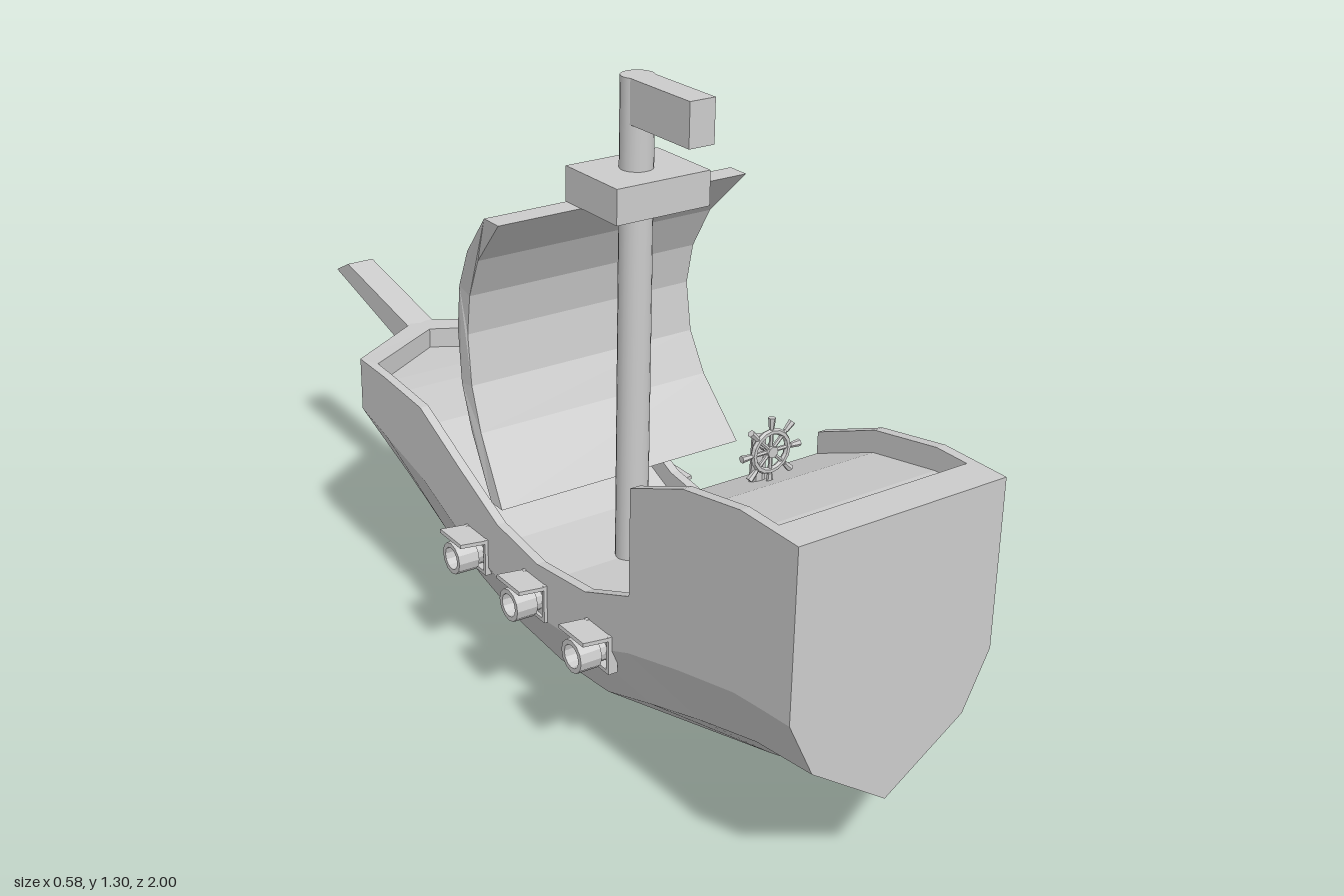
import * as THREE from 'three';

const flat = new THREE.MeshStandardMaterial({ color: 0xcccccc, flatShading: true });
const smooth = new THREE.MeshStandardMaterial({ color: 0xcccccc });

function add(parent, name, geometry, x = 0, y = 0, z = 0, material = flat) {
  const mesh = new THREE.Mesh(geometry, material);
  mesh.name = name;
  mesh.position.set(x, y, z);
  parent.add(mesh);
  return mesh;
}

// Extrudes a [z, y] outline across the ship, centred on x = 0
function sideExtrude(points, width) {
  const shape = new THREE.Shape(points.map(([z, y]) => new THREE.Vector2(z, y)));
  const geometry = new THREE.ExtrudeGeometry(shape, { depth: width, bevelEnabled: false });
  return geometry.translate(0, 0, -width / 2).rotateY(-Math.PI / 2);
}

// Hull lofted from half sections (keel, chine, wale, rail, inner rail, deck edge, deck centre)
function hullGeometry() {
  const W = 0.225, inner = 0.205, chineX = 0.17, drop = 0.045;
  const section = (z, keel, chine, wale, rail, deck = rail - drop) => [
    [0, keel, z], [chineX, chine, z], [W, wale, z], [W, rail, z],
    [inner, rail, z], [inner, deck, z], [0, deck, z],
  ];
  const rows = [
    section(1, 0.185, 0.3, 0.415, 0.75, 0.75),
    section(0.925, 0.17, 0.29, 0.408, 0.75, 0.75), // back rail, then its inner wall
    section(0.925, 0.17, 0.29, 0.408, 0.75),
    section(0.85, 0.155, 0.28, 0.4, 0.75),
    section(0.69, 0.1, 0.235, 0.36, 0.72),
    section(0.535, 0.055, 0.185, 0.315, 0.655), // step down to the main deck
    section(0.535, 0.055, 0.185, 0.315, 0.435),
    section(0.39, 0.015, 0.135, 0.255, 0.375),
    section(0.22, 0.005, 0.12, 0.24, 0.355),
    section(0.07, 0.012, 0.13, 0.25, 0.375),
    section(-0.09, 0.05, 0.165, 0.29, 0.445),
    section(-0.24, 0.09, 0.21, 0.35, 0.515),
    section(-0.4, 0.155, 0.275, 0.385, 0.527),
    // bow shoulder and stem
    [[0, 0.17, -0.48], [0.085, 0.287, -0.48], [W, 0.41, -0.51], [W, 0.53, -0.51],
      [inner, 0.53, -0.465], [inner, 0.482, -0.465], [0, 0.482, -0.465]],
    [[0, 0.185, -0.555], [0, 0.3, -0.555], [0, 0.41, -0.665], [0, 0.52, -0.665],
      [0, 0.52, -0.6], [0, 0.475, -0.6], [0, 0.475, -0.6]],
  ];
  const positions = [];
  const flip = ([x, y, z]) => [-x, y, z];
  const face = (a, b, c) => {
    const tri = new THREE.Triangle(...[a, b, c].map((p) => new THREE.Vector3(...p)));
    if (tri.getArea() < 1e-7) return;
    positions.push(...a, ...b, ...c, ...flip(a), ...flip(c), ...flip(b));
  };
  for (let i = 0; i < rows.length - 1; i++) {
    for (let j = 0; j < 6; j++) {
      const a = rows[i][j], b = rows[i + 1][j], c = rows[i + 1][j + 1], d = rows[i][j + 1];
      face(a, b, c);
      face(a, c, d);
    }
  }
  for (let j = 1; j < 6; j++) face(rows[0][0], rows[0][j], rows[0][j + 1]); // transom
  const geometry = new THREE.BufferGeometry();
  geometry.setAttribute('position', new THREE.Float32BufferAttribute(positions, 3));
  geometry.computeVertexNormals();
  return geometry;
}

// Billowing sail, wider at its top and bottom edges
function sailGeometry() {
  const outline = [
    [0.14, 1.057], [0.055, 0.965], [0.01, 0.88], [-0.005, 0.785], [0.01, 0.675], [0.055, 0.59], [0.15, 0.477],
    [0.19, 0.477], [0.09, 0.598], [0.048, 0.682], [0.033, 0.785], [0.048, 0.87], [0.093, 0.957], [0.19, 1.057],
  ];
  const geometry = sideExtrude(outline, 2);
  const p = geometry.attributes.position;
  for (let i = 0; i < p.count; i++) {
    const t = (p.getY(i) - 0.77) / 0.29;
    p.setX(i, p.getX(i) * (0.262 + 0.022 * t * t));
  }
  geometry.computeVertexNormals();
  return geometry;
}

// Cannon in its gun port, pointing along +x
function cannon() {
  const group = new THREE.Group();
  group.name = 'cannon';
  const profile = [[0, 0.18], [0.027, 0.18], [0.027, 0.24], [0.035, 0.242], [0.034, 0.288], [0.024, 0.288], [0.024, 0.23], [0, 0.23]];
  const barrel = new THREE.LatheGeometry(profile.map(([r, h]) => new THREE.Vector2(r, h)), 12);
  add(group, 'barrel', barrel.rotateZ(-Math.PI / 2), 0, 0.28, 0);
  const lid = add(group, 'portLid', new THREE.BoxGeometry(0.075, 0.008, 0.084), 0.252, 0.321, 0);
  lid.rotation.z = 0.12;
  for (const s of [-1, 1]) {
    add(group, 'portSide', new THREE.BoxGeometry(0.02, 0.08, 0.008), 0.222, 0.283, s * 0.038);
  }
  add(group, 'portSill', new THREE.BoxGeometry(0.02, 0.008, 0.084), 0.222, 0.246, 0);
  return group;
}

// Steering wheel with eight spokes on a short post
function steeringWheel() {
  const group = new THREE.Group();
  group.name = 'steeringWheel';
  const wheel = new THREE.Group();
  wheel.name = 'wheel';
  wheel.position.set(0, 0.715, 0.647);
  group.add(wheel);
  add(wheel, 'rim', new THREE.TorusGeometry(0.038, 0.006, 6, 16));
  add(wheel, 'hub', new THREE.CylinderGeometry(0.011, 0.011, 0.016, 8).rotateX(Math.PI / 2));
  for (let i = 0; i < 8; i++) {
    const spoke = new THREE.Group();
    spoke.name = 'spoke';
    spoke.rotation.z = (i * Math.PI) / 4;
    add(spoke, 'spokeRod', new THREE.CylinderGeometry(0.004, 0.004, 0.05, 6), 0, 0.025, 0);
    add(spoke, 'handle', new THREE.CylinderGeometry(0.007, 0.005, 0.02, 6), 0, 0.055, 0);
    wheel.add(spoke);
  }
  add(group, 'axle', new THREE.CylinderGeometry(0.006, 0.006, 0.05, 8).rotateX(Math.PI / 2), 0, 0.715, 0.625);
  add(group, 'post', new THREE.CylinderGeometry(0.013, 0.015, 0.1, 8), 0, 0.68, 0.612);
  return group;
}

export function createModel() {
  const ship = new THREE.Group();
  ship.name = 'sailingShip';

  add(ship, 'hull', hullGeometry());
  add(ship, 'bowsprit', sideExtrude([[-0.6, 0.51], [-0.6, 0.445], [-0.65, 0.455], [-1, 0.548], [-0.94, 0.58], [-0.645, 0.52]], 0.066));

  // Mast, lookout, flag and sail
  add(ship, 'mast', new THREE.CylinderGeometry(0.033, 0.033, 1.005, 20), 0, 0.8025, 0.22, smooth);
  add(ship, 'lookout', new THREE.BoxGeometry(0.21, 0.07, 0.17), 0, 1.093, 0.225);
  add(ship, 'flag', new THREE.BoxGeometry(0.056, 0.087, 0.19), 0, 1.2615, 0.325);
  add(ship, 'sail', sailGeometry());

  add(ship, 'helm', new THREE.BufferGeometry()).removeFromParent();
  ship.add(steeringWheel());

  // Three cannons on each side
  for (const z of [0.44, 0.215, -0.01]) {
    for (const s of [0, 1]) {
      const gun = cannon();
      gun.rotation.y = s * Math.PI;
      gun.position.z = z;
      ship.add(gun);
    }
  }
  return ship;
}
